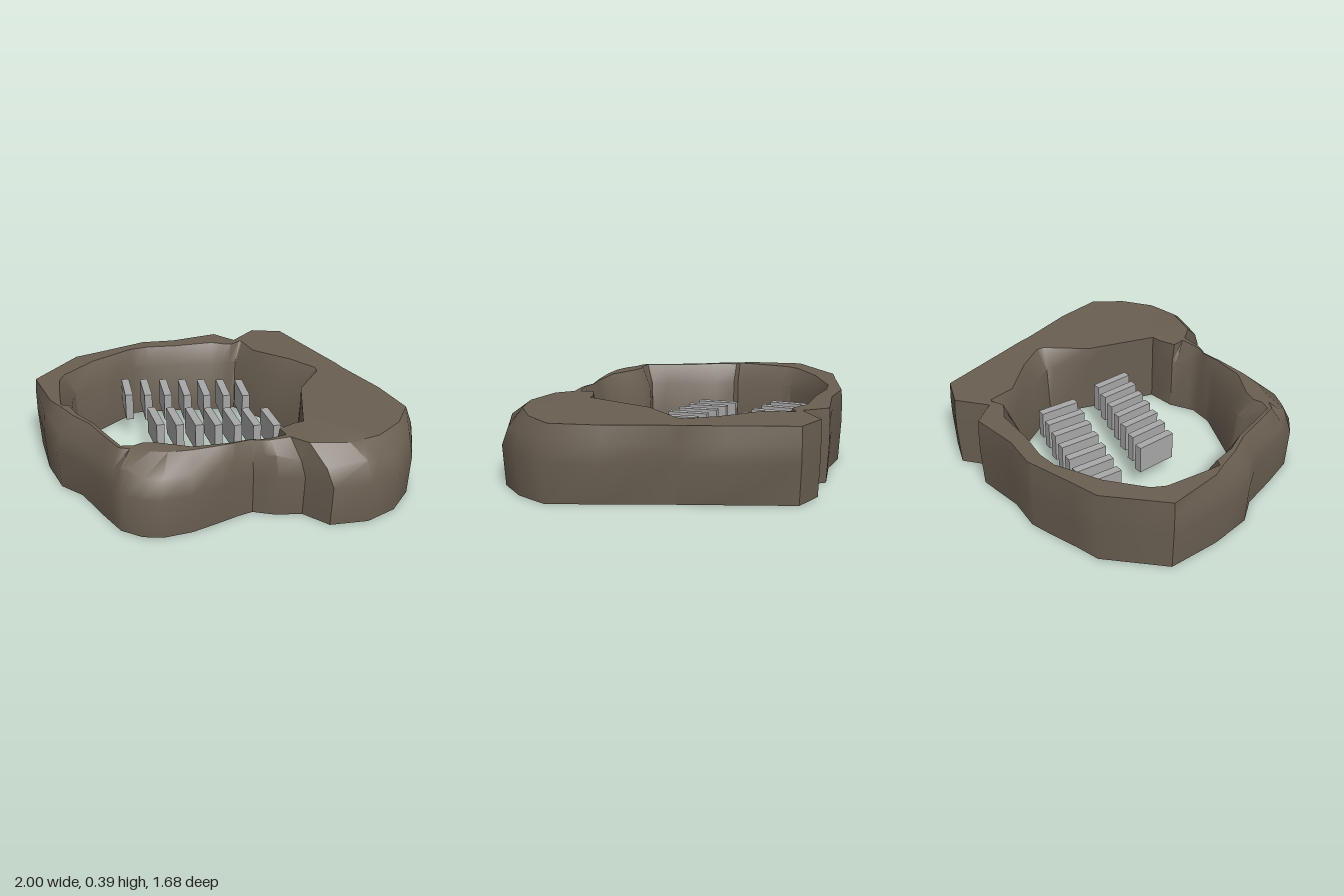
import * as THREE from 'three';
import { toCreasedNormals } from 'three/addons/utils/BufferGeometryUtils.js';

const stoneBrown = new THREE.MeshStandardMaterial({ color: 0x6a5f52 });
stoneBrown.name = 'stoneBrown';
const slabGrey = new THREE.MeshStandardMaterial({ color: 0xa8a8a8 });
slabGrey.name = 'slabGrey';
const HEIGHT = 0.39;
const CENTRE_X = -0.12;

// Plan corners (x, z) of the wall's outside and of the opening
const OUTSIDE = [
  [1, 0.21], [0.97, 0.4], [0.88, 0.57], [0.74, 0.68], [0.54, 0.72], [0.42, 0.62], [0.29, 0.63],
  [0.17, 0.6], [0.1, 0.64], [0.02, 0.7], [-0.12, 0.79], [-0.26, 0.84], [-0.36, 0.835], [-0.47, 0.78],
  [-0.58, 0.63], [-0.7, 0.45], [-0.82, 0.36], [-0.92, 0.15], [-1, -0.12], [-0.82, -0.43], [-0.7, -0.5],
  [-0.46, -0.65], [-0.28, -0.68], [-0.04, -0.78], [0.08, -0.69], [0.19, -0.845], [0.36, -0.83],
  [0.58, -0.55], [0.68, -0.3], [0.9, -0.03],
];
const OPENING = [
  [0.44, -0.25], [0.42, 0.37], [0.28, 0.43], [0.18, 0.53], [0.05, 0.56], [-0.33, 0.515], [-0.43, 0.575],
  [-0.7, 0.175], [-0.76, 0.18], [-0.78, -0.16], [-0.5, -0.5], [-0.41, -0.52], [0, -0.56], [0.08, -0.58],
];
// Top and foot run straight along the back right, where only the middle bulges
const EDGE = OUTSIDE.slice(0, 27);

const angleOf = ([x, z]) => Math.atan2(z, x - CENTRE_X);

// Distance from the centre to an outline along one direction
function reach(outline, angle) {
  const dx = Math.cos(angle), dz = Math.sin(angle);
  let best = 0;
  outline.forEach(([x, z], i) => {
    const [x2, z2] = outline[(i + 1) % outline.length];
    const px = x - CENTRE_X, ex = x2 - x, ez = z2 - z;
    const cross = dx * ez - dz * ex;
    const along = (px * dz - z * dx) / cross;
    if (along > -1e-6 && along < 1 + 1e-6) best = Math.max(best, (px * ez - z * ex) / cross);
  });
  return best;
}

// Closed loop of cross-sections: bulging outside, rim sloping at the front, rounded inside where thin
function rockWall() {
  const angles = [...OUTSIDE, ...OPENING].map(angleOf).sort((a, b) => a - b)
    .filter((a, i, all) => i === 0 || a - all[i - 1] > 0.008);
  const points = [], index = [], n = angles.length, m = 7;
  for (const angle of angles) {
    const outer = reach(OUTSIDE, angle), inner = reach(OPENING, angle);
    const thickness = outer - inner;
    const edge = Math.min(outer, reach(EDGE, angle));
    const bevel = Math.min(0.22 * Math.max(0, Math.sin(angle)), thickness * 0.45);
    const lean = thickness * 0.4 * THREE.MathUtils.clamp((0.42 - thickness) / 0.15, 0, 1);
    const section = [
      [edge - Math.min(0.012, thickness * 0.08), 0],
      [outer, 0.21],
      [(edge + outer) / 2 - bevel * 0.3, 0.31 + 0.02 * Math.sin(angle * 20)],
      [edge - bevel - 0.005, HEIGHT],
      [inner + lean, HEIGHT],
      [inner + lean * 0.2, 0.29],
      [inner, 0],
    ];
    for (const [r, y] of section) points.push(CENTRE_X + r * Math.cos(angle), y, r * Math.sin(angle));
  }
  for (let i = 0; i < n; i++) {
    for (let j = 0; j < m; j++) {
      const a = i * m + j, b = i * m + (j + 1) % m;
      const c = ((i + 1) % n) * m + j, d = ((i + 1) % n) * m + (j + 1) % m;
      index.push(a, b, c, b, d, c);
    }
  }
  const geometry = new THREE.BufferGeometry();
  geometry.setAttribute('position', new THREE.Float32BufferAttribute(points, 3));
  geometry.setIndex(index);
  return toCreasedNormals(geometry, 0.7);
}

// Row of thin upright slabs, all turned by the same angle
function slabRow(name, centres, z, angle) {
  const row = new THREE.Group();
  row.name = name;
  const geometry = new THREE.BoxGeometry(0.042, 0.15, 0.215);
  for (const x of centres) {
    const slab = new THREE.Mesh(geometry, slabGrey);
    slab.name = 'slab';
    slab.position.set(x, 0.185, z);
    slab.rotation.y = angle;
    row.add(slab);
  }
  return row;
}

export function createModel() {
  const model = new THREE.Group();
  model.name = 'rockEnclosure';

  const wall = new THREE.Mesh(rockWall(), stoneBrown);
  wall.name = 'rockWall';
  model.add(wall);

  model.add(slabRow('backSlabRow', [-0.523, -0.417, -0.308, -0.2, -0.091, 0.017, 0.124], -0.302, 0.2));
  model.add(slabRow('frontSlabRow', [-0.338, -0.236, -0.135, -0.034, 0.067, 0.168, 0.271], 0.06, 0.3));
  return model;
}
